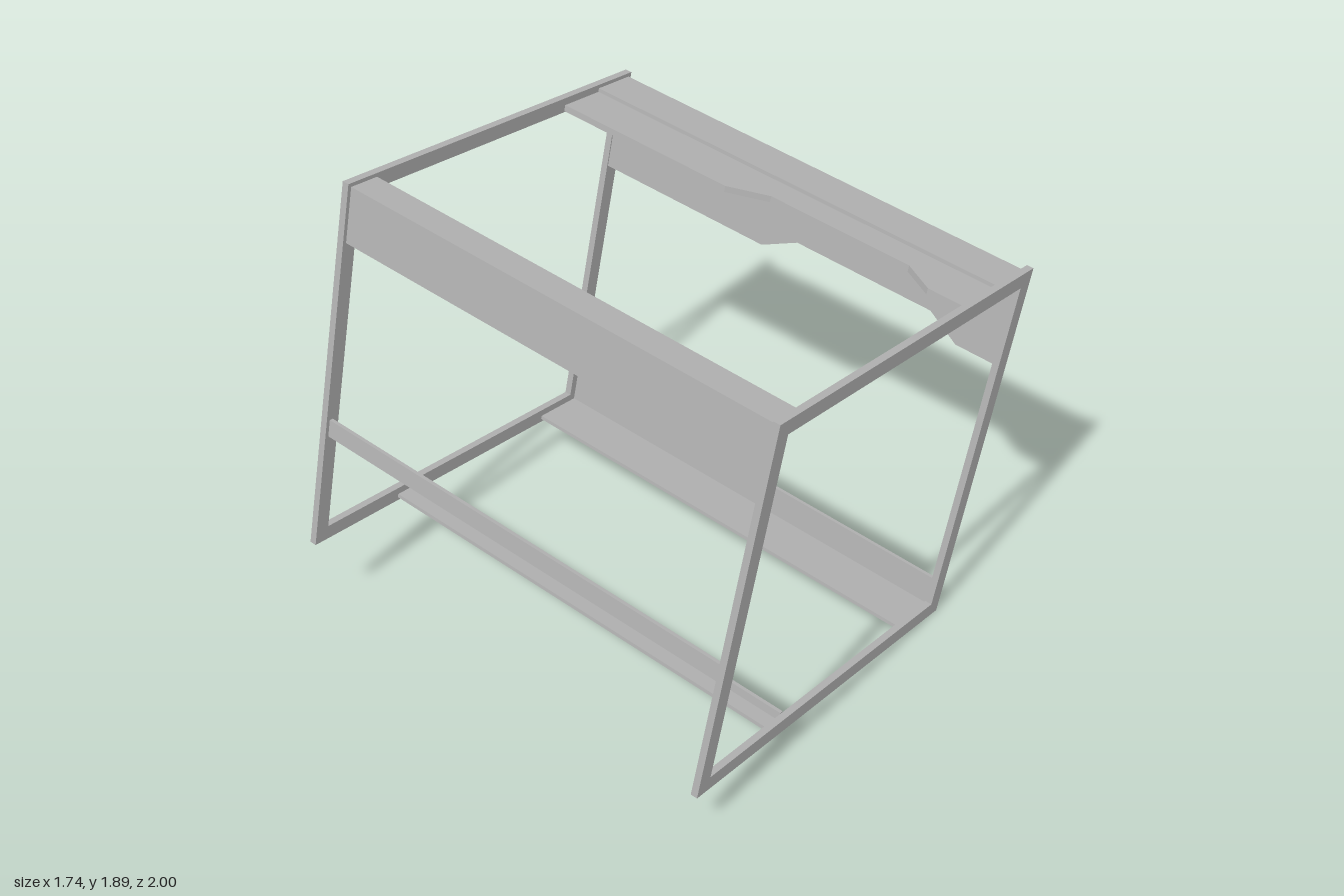
import * as THREE from 'three';

const steel = new THREE.MeshStandardMaterial({ color: 0xb2b2b2 });
steel.name = 'grey steel';

const HALF = 0.77;          // half of the square end frame
const DEPTH = 1.855;        // overall length along the rails
const FRAME_T = 0.027;      // end frame thickness
const LEG_T = 0.015;        // angle iron thickness
const IN = HALF - 0.015;    // outer face of the rails
const END = DEPTH / 2 - FRAME_T;

// Extrude a 2D outline along z, starting at z0
function extrude(name, shape, z0, depth) {
  const geo = new THREE.ExtrudeGeometry(shape, { depth, bevelEnabled: false });
  geo.translate(0, 0, z0);
  const mesh = new THREE.Mesh(geo, steel);
  mesh.name = name;
  return mesh;
}

const outline = (pts) => new THREE.Shape(pts.map(([x, y]) => new THREE.Vector2(x, y)));

// L-section rail: corner (x, y), legs reaching by dx sideways and dy vertically
function angleRail(name, x, y, dx, dy) {
  const tx = Math.sign(dx) * LEG_T, ty = Math.sign(dy) * LEG_T;
  const shape = outline([
    [x, y], [x + dx, y], [x + dx, y + ty], [x + tx, y + ty], [x + tx, y + dy], [x, y + dy],
  ]);
  return extrude(name, shape, -END, 2 * END);
}

// Square ring at each end
function endFrame(name, z0) {
  const square = (s) => [[-s, -s], [s, -s], [s, s], [-s, s]];
  const shape = outline(square(HALF));
  shape.holes.push(new THREE.Path(square(HALF - 0.06).map(([x, y]) => new THREE.Vector2(x, y))));
  return extrude(name, shape, z0, FRAME_T);
}

// Notched sheet lying in the x/z plane, reaching inward from the outer corner
function notchedSheet(name) {
  const outer = IN - LEG_T, edge = 0.378, notch = 0.458, t = 0.025;
  const shape = outline([
    [outer, -END], [outer, END], [edge, END], [edge, 0.74], [notch, 0.61],
    [notch, 0.01], [edge, -0.14], [edge, -END],
  ]);
  const mesh = extrude(name, shape, 0, t);
  mesh.geometry.rotateX(Math.PI / 2);   // outline y becomes z, thickness goes down
  mesh.geometry.translate(0, outer, 0);
  return mesh;
}

export function createModel() {
  const model = new THREE.Group();
  model.name = 'tilted rack';

  const rack = new THREE.Group();
  rack.name = 'rack';
  rack.position.y = 0.947;
  rack.rotation.set(THREE.MathUtils.degToRad(5), 0, THREE.MathUtils.degToRad(-8));
  model.add(rack);

  rack.add(endFrame('frontFrame', END), endFrame('backFrame', -DEPTH / 2));

  // Long rails between the end frames
  rack.add(
    angleRail('upperLeftRail', IN, IN, -0.18, -0.18),
    angleRail('upperRightRail', -IN, IN, 0.125, -0.22),
    angleRail('lowerLeftRail', IN, -IN, -0.225, 0.135),
    angleRail('floorRail', -0.247, -IN, -0.08, 0.05),
    angleRail('middleRail', -IN, -0.278, 0.05, 0.072),
  );

  // Notched sheets under the upper left rail; the side one mirrors the top one about the diagonal
  const top = notchedSheet('topSheet');
  const side = notchedSheet('sideSheet');
  side.geometry.applyMatrix4(new THREE.Matrix4().makeRotationZ(-Math.PI / 2));
  side.geometry.scale(1, -1, 1);
  // restore the corner order after mirroring
  const p = side.geometry.attributes;
  for (const key of ['position', 'normal', 'uv']) {
    const a = p[key].array, n = p[key].itemSize;
    for (let i = 0; i < a.length; i += 3 * n) {
      for (let k = 0; k < n; k++) [a[i + n + k], a[i + 2 * n + k]] = [a[i + 2 * n + k], a[i + n + k]];
    }
  }
  rack.add(top, side);

  return model;
}
